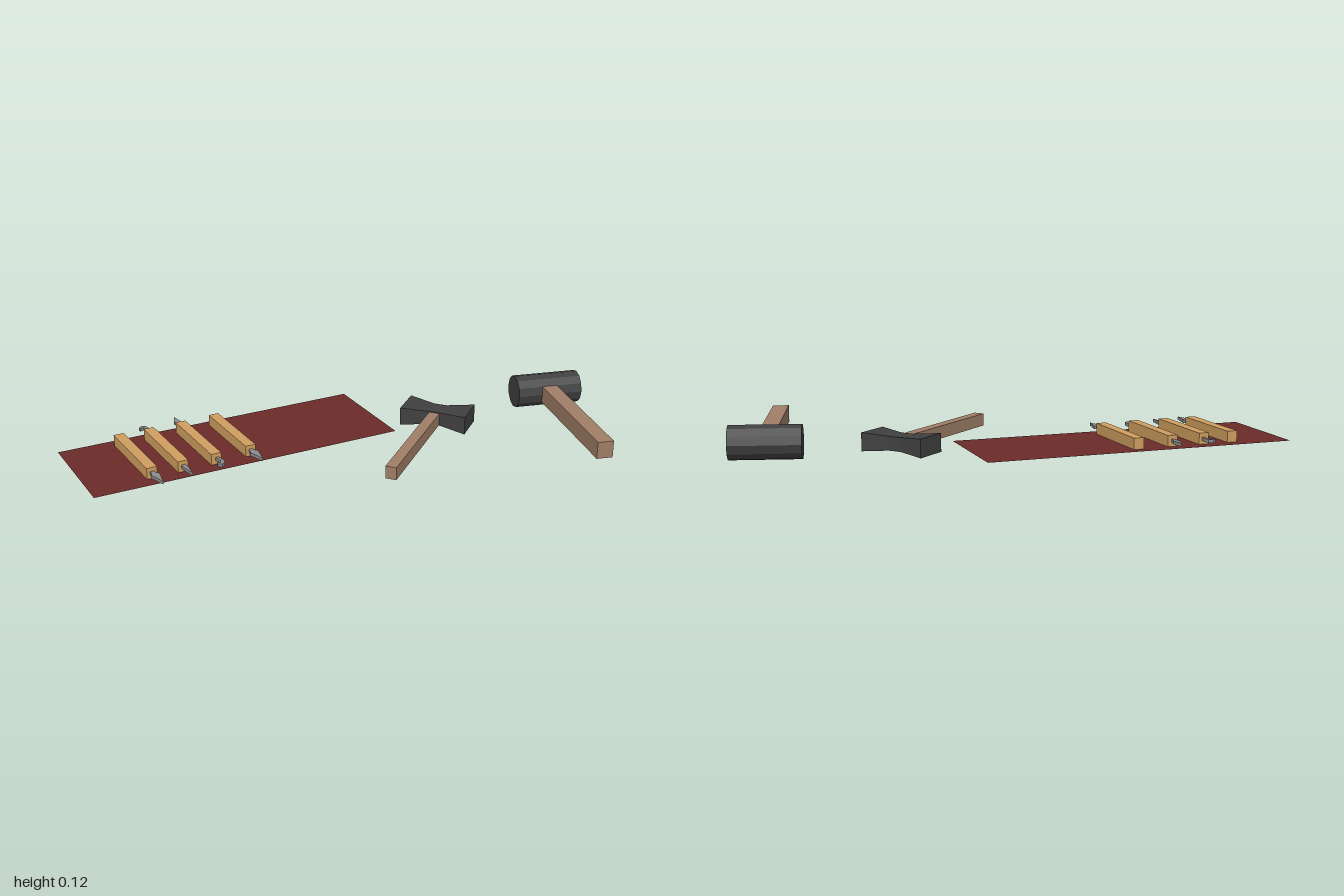
import * as THREE from 'three';

const mat = (color, side = THREE.FrontSide) =>
  new THREE.MeshStandardMaterial({ color, side, flatShading: true });

function add(parent, name, geometry, material, x = 0, y = 0, z = 0) {
  const mesh = new THREE.Mesh(geometry, material);
  mesh.name = name;
  mesh.position.set(x, y, z);
  parent.add(mesh);
  return mesh;
}

function addGroup(parent, name, x, y, z, turn = 0) {
  const group = new THREE.Group();
  group.name = name;
  group.position.set(x, y, z);
  group.rotation.y = turn;
  parent.add(group);
  return group;
}

// Flat blade whose outline points along +z
function bladeGeometry(points) {
  const shape = new THREE.Shape(points.map(([x, y]) => new THREE.Vector2(x, y)));
  const g = new THREE.ExtrudeGeometry(shape, { depth: 0.012, bevelEnabled: false });
  g.translate(0, 0, -0.006);
  g.rotateX(Math.PI / 2);
  return g;
}

// Rectangular sections [x, halfHeight, halfWidth] joined along x, with end caps
function loftX(sections) {
  const pos = [], index = [];
  for (const [x, h, w] of sections) pos.push(x, -h, -w, x, h, -w, x, h, w, x, -h, w);
  for (let s = 0; s < sections.length - 1; s++) {
    for (let k = 0; k < 4; k++) {
      const a = s * 4 + k, b = s * 4 + (k + 1) % 4;
      index.push(a, b, b + 4, a, b + 4, a + 4);
    }
  }
  const e = (sections.length - 1) * 4;
  index.push(0, 2, 1, 0, 3, 2, e, e + 1, e + 2, e, e + 2, e + 3);
  const g = new THREE.BufferGeometry();
  g.setAttribute('position', new THREE.Float32BufferAttribute(pos, 3));
  g.setIndex(index);
  const flat = g.toNonIndexed();
  flat.computeVertexNormals();
  return flat;
}

export function createModel() {
  const model = new THREE.Group();
  model.name = 'carvingTools';
  const wood = mat(0xa07e66), paleWood = mat(0xcf9e5f);
  const iron = mat(0x404040), steel = mat(0x8c8c8c);

  // Cloth the carving tools lie on
  const cloth = add(model, 'cloth', new THREE.PlaneGeometry(1.157, 0.403).rotateX(-Math.PI / 2),
    mat(0x6b2c2a, THREE.DoubleSide), -0.39, 0.023, -0.06);
  cloth.rotation.y = 0.256;

  // Carving tools: pale handles with differing blades at one or both ends
  const blades = {
    spear: bladeGeometry([[-0.006, -0.01], [0.006, -0.01], [0.008, 0.012], [0.018, 0.024],
      [0.004, 0.092], [-0.014, 0.03], [-0.008, 0.012]]),
    spike: bladeGeometry([[-0.006, -0.01], [0.006, -0.01], [0.01, 0.02], [0.003, 0.078], [-0.008, 0.02]]),
    hook: bladeGeometry([[-0.005, -0.01], [0.006, -0.01], [0.014, 0.03], [0.01, 0.052], [-0.004, 0.062],
      [-0.018, 0.052], [-0.016, 0.042], [-0.004, 0.046], [0.002, 0.03]]),
    leaf: bladeGeometry([[-0.005, -0.01], [0.005, -0.01], [0.006, 0.015], [0.014, 0.035],
      [0.008, 0.082], [-0.008, 0.045], [-0.006, 0.015]]),
  };
  const handleGeo = new THREE.BoxGeometry(0.038, 0.041, 0.316);
  const tools = [
    [-0.738, 0.028, 'spear', null],
    [-0.628, 0, 'spike', 'hook'],
    [-0.508, -0.033, 'hook', 'leaf'],
    [-0.38, -0.073, 'spear', null],
  ];
  tools.forEach(([x, z, front, back], i) => {
    const tool = addGroup(model, 'carvingTool' + (i + 1), x, 0.0445, z, 0.28);
    add(tool, 'toolHandle', handleGeo, paleWood);
    add(tool, front + 'Blade', blades[front], steel, 0, 0, 0.157);
    if (back) {
      const blade = add(tool, back + 'Blade', blades[back], steel, 0, 0, -0.157);
      blade.rotation.x = Math.PI;
    }
  });

  // Double-bitted axe, lying flat
  const axe = addGroup(model, 'axe', 0.406, 0.037, -0.09, -0.6);
  add(axe, 'axeHead', loftX([[-0.126, 0.034, 0.066], [-0.025, 0.026, 0.04],
    [0.025, 0.026, 0.04], [0.126, 0.034, 0.066]]), iron);
  add(axe, 'axeHandle', new THREE.BoxGeometry(0.04, 0.047, 0.52), wood, 0, 0, 0.278);

  // Mallet with a round head
  const mallet = addGroup(model, 'mallet', 0.872, 0.063, -0.182);
  add(mallet, 'malletHead',
    new THREE.CylinderGeometry(0.062, 0.062, 0.254, 12).rotateZ(Math.PI / 2), iron);
  add(mallet, 'malletHandle', new THREE.BoxGeometry(0.06, 0.063, 0.56), wood, -0.003, 0, 0.302);

  return model;
}
